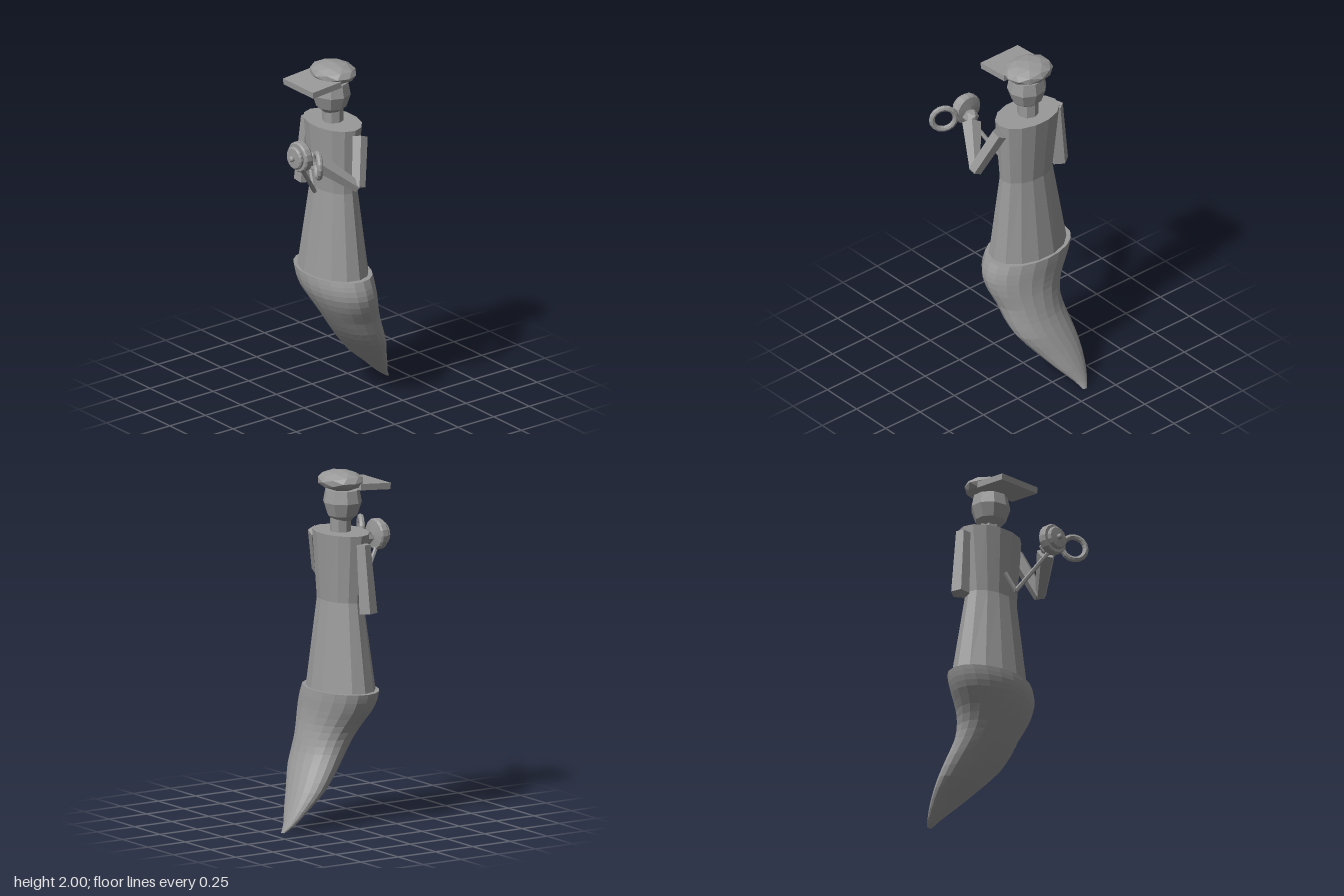
import * as THREE from 'three';

const grey = new THREE.MeshStandardMaterial({ color: 0x999999, flatShading: true });
grey.name = 'stone grey';

// Closed skin over elliptical rings [cx, y, cz, rx, rz], listed bottom to top
function loft(rings, sides) {
  const pos = [], idx = [];
  for (const [cx, y, cz, rx, rz] of rings) {
    for (let i = 0; i < sides; i++) {
      const a = (i / sides) * Math.PI * 2;
      pos.push(cx + Math.cos(a) * rx, y, cz + Math.sin(a) * rz);
    }
  }
  const n = rings.length;
  for (let r = 0; r < n - 1; r++) {
    for (let i = 0; i < sides; i++) {
      const j = (i + 1) % sides, a = r * sides, b = a + sides;
      idx.push(a + i, b + i, a + j, a + j, b + i, b + j);
    }
  }
  const low = n * sides, high = low + 1, last = (n - 1) * sides;
  for (const r of [rings[0], rings[n - 1]]) pos.push(r[0], r[1], r[2]);
  for (let i = 0; i < sides; i++) {
    const j = (i + 1) % sides;
    idx.push(low, i, j, high, last + j, last + i);
  }
  const g = new THREE.BufferGeometry();
  g.setAttribute('position', new THREE.Float32BufferAttribute(pos, 3));
  g.setIndex(idx);
  g.computeVertexNormals();
  return g;
}

// Tapered prism between two points
function limb(from, to, r0, r1, sides) {
  const a = new THREE.Vector3(...from), b = new THREE.Vector3(...to);
  const d = b.clone().sub(a);
  const g = new THREE.CylinderGeometry(r1, r0, d.length(), sides);
  g.applyQuaternion(new THREE.Quaternion().setFromUnitVectors(
    new THREE.Vector3(0, 1, 0), d.normalize()));
  const mid = a.add(b).multiplyScalar(0.5);
  return g.translate(mid.x, mid.y, mid.z);
}

// Faceted ellipsoid
function blob(x, y, z, rx, ry, rz, detail) {
  return new THREE.IcosahedronGeometry(1, detail).scale(rx, ry, rz).translate(x, y, z);
}

export function createModel() {
  const model = new THREE.Group();
  model.name = 'carvedFigure';
  const add = (name, geometry, parent = model) => {
    const mesh = new THREE.Mesh(geometry, grey);
    mesh.name = name;
    parent.add(mesh);
    return mesh;
  };

  // Curved tail: [y, xMin, xMax, zMin, zMax] sections, smoothed
  const sections = [
    [0, -0.115, -0.085, -0.42, -0.40],
    [0.04, -0.145, -0.06, -0.4, -0.345],
    [0.12, -0.175, 0.01, -0.365, -0.255],
    [0.22, -0.195, 0.09, -0.32, -0.135],
    [0.33, -0.19, 0.17, -0.27, -0.035],
    [0.42, -0.18, 0.2, -0.23, 0.035],
    [0.50, -0.185, 0.215, -0.205, 0.09],
    [0.58, -0.22, 0.245, -0.185, 0.14],
    [0.66, -0.275, 0.26, -0.175, 0.18],
    [0.72, -0.305, 0.25, -0.172, 0.193],
    [0.77, -0.32, 0.23, -0.168, 0.193],
  ];
  const edge = (i, j) => new THREE.CatmullRomCurve3(
    sections.map((s) => new THREE.Vector3(s[i], s[0], s[j])));
  const lowEdge = edge(1, 3), highEdge = edge(2, 4);
  const tail = [];
  for (let k = 0; k <= 20; k++) {
    const a = lowEdge.getPoint(k / 20), b = highEdge.getPoint(k / 20);
    tail.push([(a.x + b.x) / 2, a.y, (a.z + b.z) / 2, (b.x - a.x) / 2, (b.z - a.z) / 2]);
  }
  add('tail', loft(tail, 20));

  // Coat, neck and head
  add('coat', loft([
    [-0.045, 0.74, 0.013, 0.25, 0.17],
    [-0.035, 1.27, 0.015, 0.17, 0.107],
    [-0.043, 1.655, 0.015, 0.205, 0.135],
  ], 14));
  add('neck', new THREE.CylinderGeometry(0.06, 0.06, 0.14, 8).translate(-0.045, 1.7, 0.012));
  add('head', loft([
    [-0.05, 1.7, 0.02, 0.035, 0.035],
    [-0.047, 1.745, 0.022, 0.088, 0.083],
    [-0.047, 1.82, 0.022, 0.115, 0.107],
    [-0.047, 1.89, 0.022, 0.1, 0.095],
  ], 9));

  // Cap with a flat peak
  const cap = new THREE.Group();
  cap.name = 'cap';
  model.add(cap);
  add('crown', blob(-0.047, 1.943, 0.01, 0.148, 0.058, 0.124, 1), cap);
  const peak = add('peak', new THREE.BoxGeometry(0.27, 0.036, 0.2), cap);
  peak.position.set(-0.045, 1.91, 0.157);
  peak.rotation.x = 0.08;

  // Hanging right arm and bent left arm
  add('rightArm', limb([-0.255, 1.61, 0.02], [-0.287, 1.225, 0.03], 0.042, 0.054, 5));
  const leftArm = new THREE.Group();
  leftArm.name = 'leftArm';
  model.add(leftArm);
  const elbow = [0.278, 1.372, 0.085];
  add('upperArm', limb([0.175, 1.62, -0.005], elbow, 0.045, 0.04, 5), leftArm);
  add('forearm', limb(elbow, [0.142, 1.53, 0.275], 0.032, 0.055, 5), leftArm);
  add('hand', blob(0.125, 1.55, 0.3, 0.047, 0.047, 0.047, 0), leftArm);

  // Round instrument facing forward
  const instrument = new THREE.Group();
  instrument.name = 'instrument';
  instrument.position.set(0.107, 1.57, 0);
  model.add(instrument);
  const profile = [
    [0, 0.325], [0.08, 0.335], [0.088, 0.345], [0.088, 0.376], [0.08, 0.385],
    [0.062, 0.385], [0.066, 0.392], [0.066, 0.402], [0.058, 0.41],
    [0.016, 0.412], [0.017, 0.425], [0.01, 0.433], [0, 0.434],
  ].map(([r, z]) => new THREE.Vector2(r, z));
  add('dial', new THREE.LatheGeometry(profile, 16).rotateX(Math.PI / 2), instrument);

  // Ring beside the instrument
  const ring = add('ring', new THREE.TorusGeometry(0.068, 0.017, 8, 16));
  ring.position.set(0.27, 1.57, 0.362);
  ring.rotation.y = -0.48;

  // Bent rod below the instrument
  const bend = [0, 1.285, 0.178];
  add('rod', limb([0.1, 1.51, 0.355], bend, 0.012, 0.013, 6));
  add('rodEnd', limb(bend, [-0.06, 1.385, 0.155], 0.013, 0.013, 6));
  add('rodBend', blob(...bend, 0.015, 0.015, 0.015, 0));

  return model;
}
